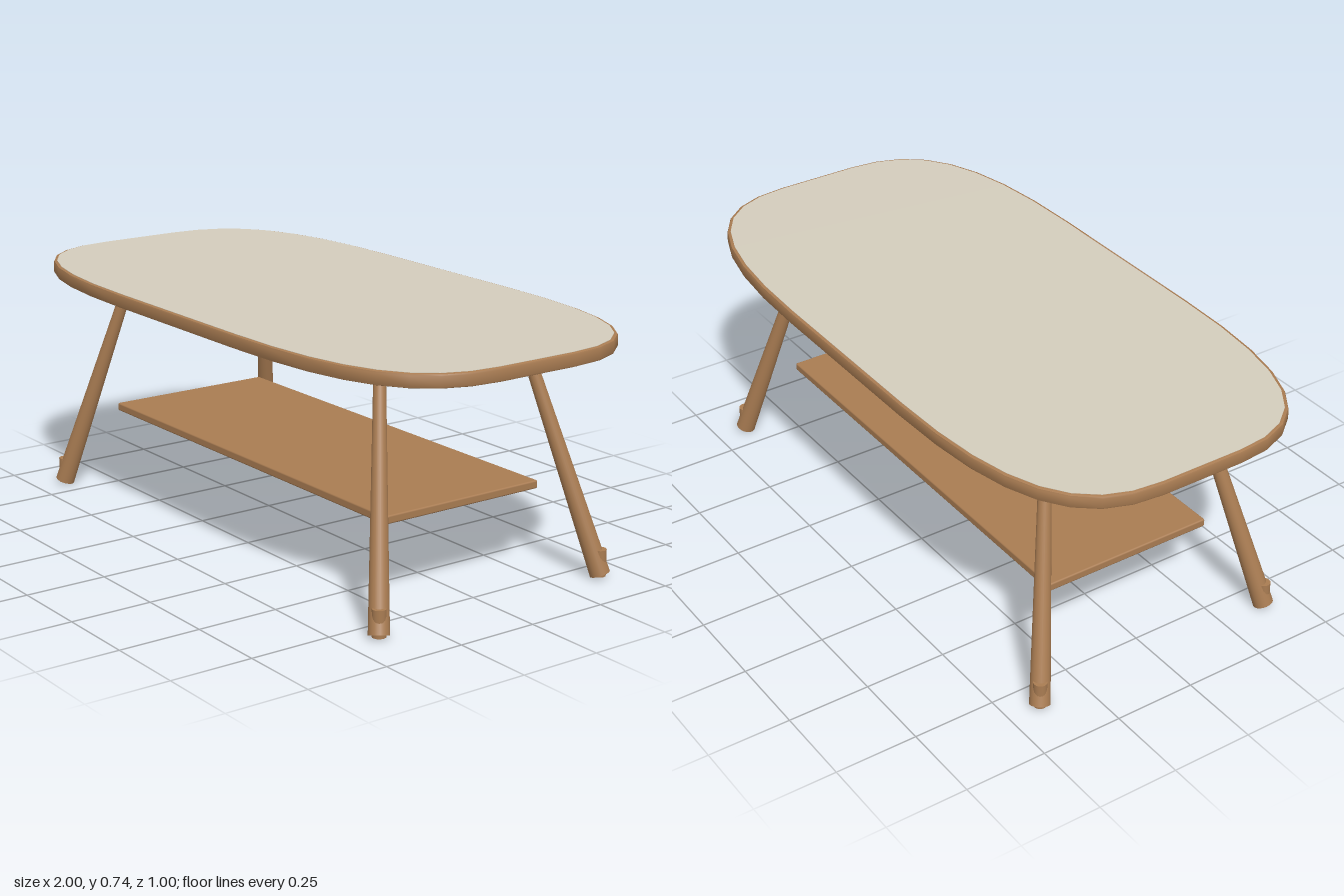
import * as THREE from 'three';
import { toCreasedNormals } from 'three/addons/utils/BufferGeometryUtils.js';
import { RoundedBoxGeometry } from 'three/addons/geometries/RoundedBoxGeometry.js';

const wood = new THREE.MeshStandardMaterial({ color: 0xa97c52 });
wood.name = 'wood';
const pale = new THREE.MeshStandardMaterial({ color: 0xd4cdbd });
pale.name = 'pale laminate';

function part(name, geometry, material, parent) {
  const mesh = new THREE.Mesh(geometry, material);
  mesh.name = name;
  parent.add(mesh);
  return mesh;
}

// Soft rectangular outline: straight middles joined by long curved corners
function outline(inset) {
  const w = 1 - inset, d = 0.5 - inset;
  const s = new THREE.Shape();
  s.moveTo(w, -0.13);
  s.lineTo(w, 0.13);
  s.bezierCurveTo(w, d - 0.1, w - 0.2, d, 0.3, d);
  s.lineTo(-0.3, d);
  s.bezierCurveTo(-w + 0.2, d, -w, d - 0.1, -w, 0.13);
  s.lineTo(-w, -0.13);
  s.bezierCurveTo(-w, -d + 0.1, -w + 0.2, -d, -0.3, -d);
  s.lineTo(0.3, -d);
  s.bezierCurveTo(w - 0.2, -d, w, -d + 0.1, w, -0.13);
  return s;
}

export function createModel() {
  const table = new THREE.Group();
  table.name = 'coffeeTable';

  // Table top with softened edges
  const bevel = 0.006;
  const slab = new THREE.ExtrudeGeometry(outline(bevel), {
    depth: 0.04 - 2 * bevel, bevelThickness: bevel, bevelSize: bevel,
    bevelSegments: 2, curveSegments: 8,
  });
  slab.rotateX(-Math.PI / 2).translate(0, 0.7 + bevel, 0);
  part('tableTop', toCreasedNormals(slab, 0.5), wood, table);

  // Thin pale surface set just inside the rim
  const surface = new THREE.ExtrudeGeometry(outline(0.01), {
    depth: 0.003, bevelEnabled: false, curveSegments: 8,
  });
  surface.rotateX(-Math.PI / 2).translate(0, 0.738, 0);
  part('topSurface', surface, pale, table);

  // Lower shelf
  const shelf = part('shelf', new RoundedBoxGeometry(1.4, 0.025, 0.55, 2, 0.005), wood, table);
  shelf.position.y = 0.2675;

  // Splayed legs, thicker at the floor, each with a small upright foot peg
  const up = new THREE.Vector3(0, 1, 0);
  for (const sx of [-1, 1]) {
    for (const sz of [-1, 1]) {
      const leg = new THREE.Group();
      leg.name = (sz > 0 ? 'front' : 'back') + (sx > 0 ? 'Left' : 'Right') + 'Leg';
      table.add(leg);

      const foot = new THREE.Vector3(sx * 0.837, 0.01, sz * 0.4);
      const head = new THREE.Vector3(sx * 0.637, 0.708, sz * 0.25);
      const axis = head.clone().sub(foot);
      const post = part('legPost', new THREE.CylinderGeometry(0.0165, 0.03, axis.length(), 24), wood, leg);
      post.position.copy(foot).add(head).multiplyScalar(0.5);
      post.quaternion.setFromUnitVectors(up, axis.normalize());

      const peg = part('footPeg', new THREE.CylinderGeometry(0.02, 0.02, 0.08, 20), wood, leg);
      peg.position.set(sx * 0.835, 0.045, sz * 0.398);
    }
  }
  return table;
}
